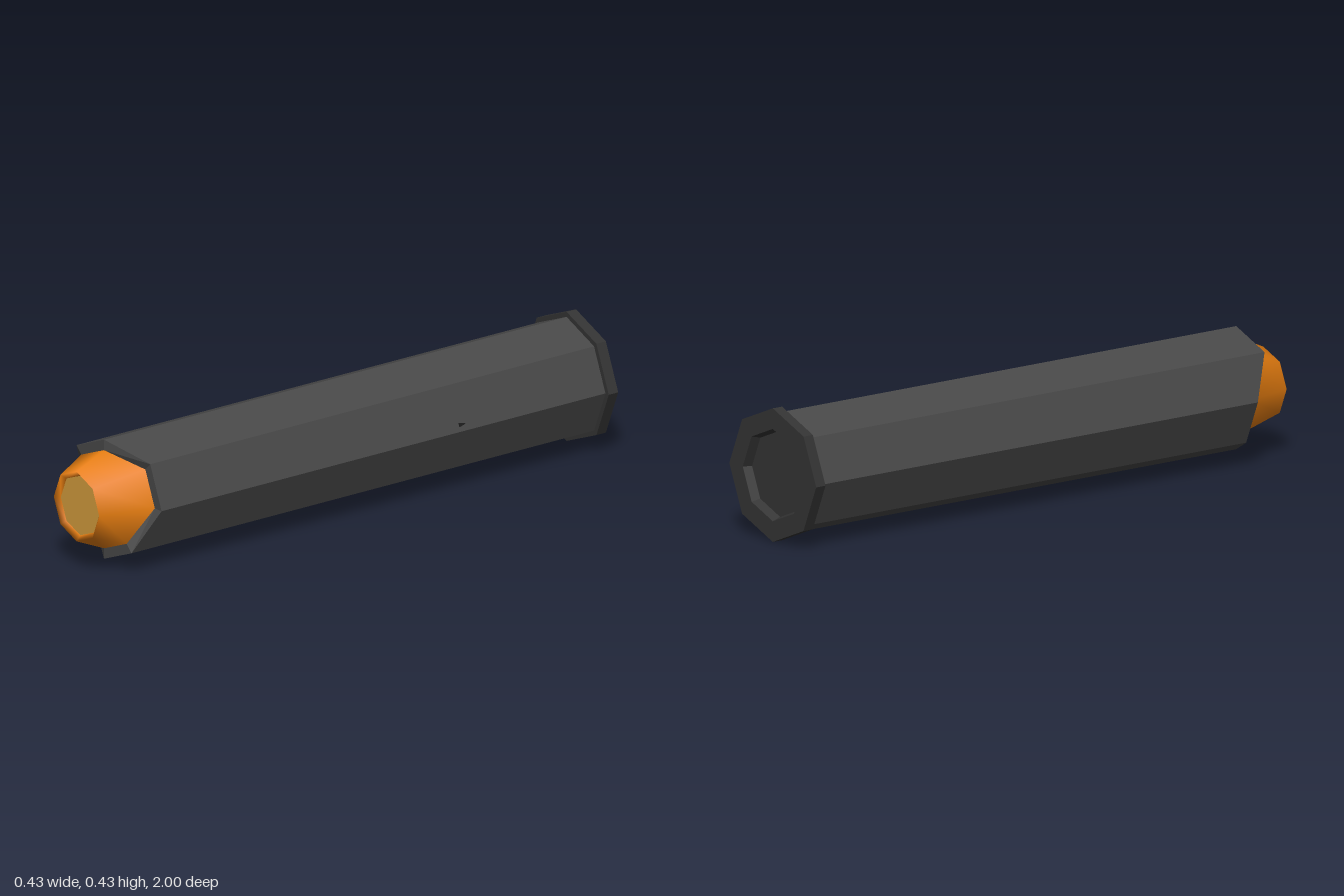
import * as THREE from 'three';

const SIDES = 8;
const CENTRE_Y = 0.217;

// Front edge of the casing: pairs of corners alternate between short and long
const crown = (j) => (Math.floor((j % SIDES) / 2) % 2 === 0 ? 0.815 : 0.89);

// Skin octagonal rings [radius, z]; z may be a rule per corner. Runs back to front on the outside.
function loft(rings, smooth) {
  const pos = [], index = [];
  for (const [r, z] of rings) {
    for (let j = 0; j < SIDES; j++) {
      const a = (j / SIDES) * Math.PI * 2;
      pos.push(r * Math.cos(a), r * Math.sin(a), typeof z === 'function' ? z(j) : z);
    }
  }
  for (let i = 0; i < rings.length - 1; i++) {
    for (let j = 0; j < SIDES; j++) {
      const k = (j + 1) % SIDES;
      const a = i * SIDES + j, b = i * SIDES + k;
      const c = b + SIDES, d = a + SIDES;
      if (rings[i][0] > 0) index.push(a, b, c);
      if (rings[i + 1][0] > 0) index.push(a, c, d);
      else if (rings[i][0] === 0) continue;
    }
  }
  let g = new THREE.BufferGeometry();
  g.setAttribute('position', new THREE.Float32BufferAttribute(pos, 3));
  g.setIndex(index);
  if (!smooth) g = g.toNonIndexed();
  g.computeVertexNormals();
  return g;
}

export function createModel() {
  const group = new THREE.Group();
  const add = (name, geometry, color, flatShading = true) => {
    const mesh = new THREE.Mesh(geometry, new THREE.MeshStandardMaterial({ color, flatShading }));
    mesh.name = name;
    mesh.position.y = CENTRE_Y;
    group.add(mesh);
    return mesh;
  };

  // Long casing with a stepped crown and a lip turned in to the nose
  add('casing', loft([[0.2, -0.965], [0.2, crown], [0.165, crown]]), 0x484848);

  // Rear flange with a shallow recess in its back face
  add('rearFlange', loft([
    [0, -0.97], [0.14, -0.97], [0.15, -1], [0.217, -1], [0.217, -0.962], [0.19, -0.962],
  ]), 0x333333);

  // Tapered nose with a rim turned inward
  add('nose', loft([[0.165, crown], [0.117, 1], [0.1, 0.985]], true), 0xe67d10, false);

  // Flat disc closing the nose
  add('noseCap', loft([[0.1, 0.985], [0, 0.985]]), 0xd09a3c);

  // Tiny pointed stud on one side face
  const stud = add('sideStud', new THREE.ConeGeometry(0.008, 0.03, 3), 0x1c1c1c);
  stud.rotation.x = -Math.PI / 2;
  stud.position.set(0.191, CENTRE_Y + 0.02, -0.397);

  return group;
}
